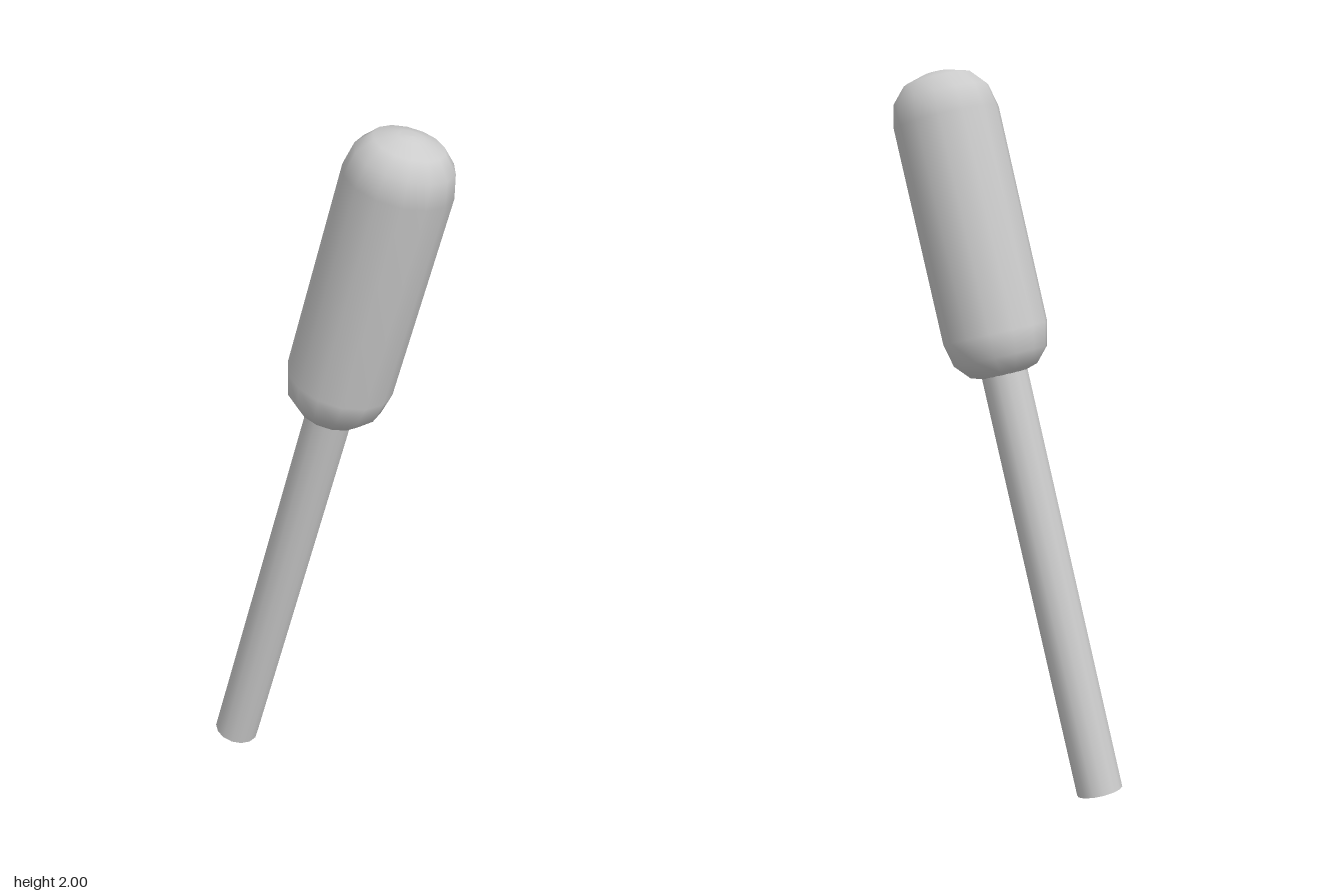
import * as THREE from 'three';

const SIDES = 14;

export function createModel() {
  const model = new THREE.Group();
  const material = new THREE.MeshStandardMaterial({ color: 0xcccccc });

  // Everything shares one axis, tilted 15 degrees towards +x
  const tool = new THREE.Group();
  tool.name = 'tiltedTool';
  tool.position.set(-0.289, 0.017, 0);
  tool.rotation.z = -Math.PI / 12;
  model.add(tool);

  // Thin straight rod, running a little way into the grip
  const rodLength = 1.3;
  const rodGeometry = new THREE.CylinderGeometry(0.065, 0.065, rodLength, SIDES);
  rodGeometry.rotateY(Math.PI / 2);
  rodGeometry.translate(0, rodLength / 2, 0);
  const rod = new THREE.Mesh(rodGeometry, material);
  rod.name = 'rod';
  tool.add(rod);

  // Round-ended grip: one end profile, mirrored for the other end
  const end = [[0, 0.43], [0.035, 0.427], [0.095, 0.409], [0.133, 0.367], [0.148, 0.302]];
  const profile = [
    ...end.map(([r, h]) => new THREE.Vector2(r, -h)),
    ...end.slice().reverse().map(([r, h]) => new THREE.Vector2(r, h)),
  ];
  const grip = new THREE.Mesh(new THREE.LatheGeometry(profile, SIDES), material);
  grip.name = 'grip';
  grip.position.y = 1.618;
  tool.add(grip);

  return model;
}
